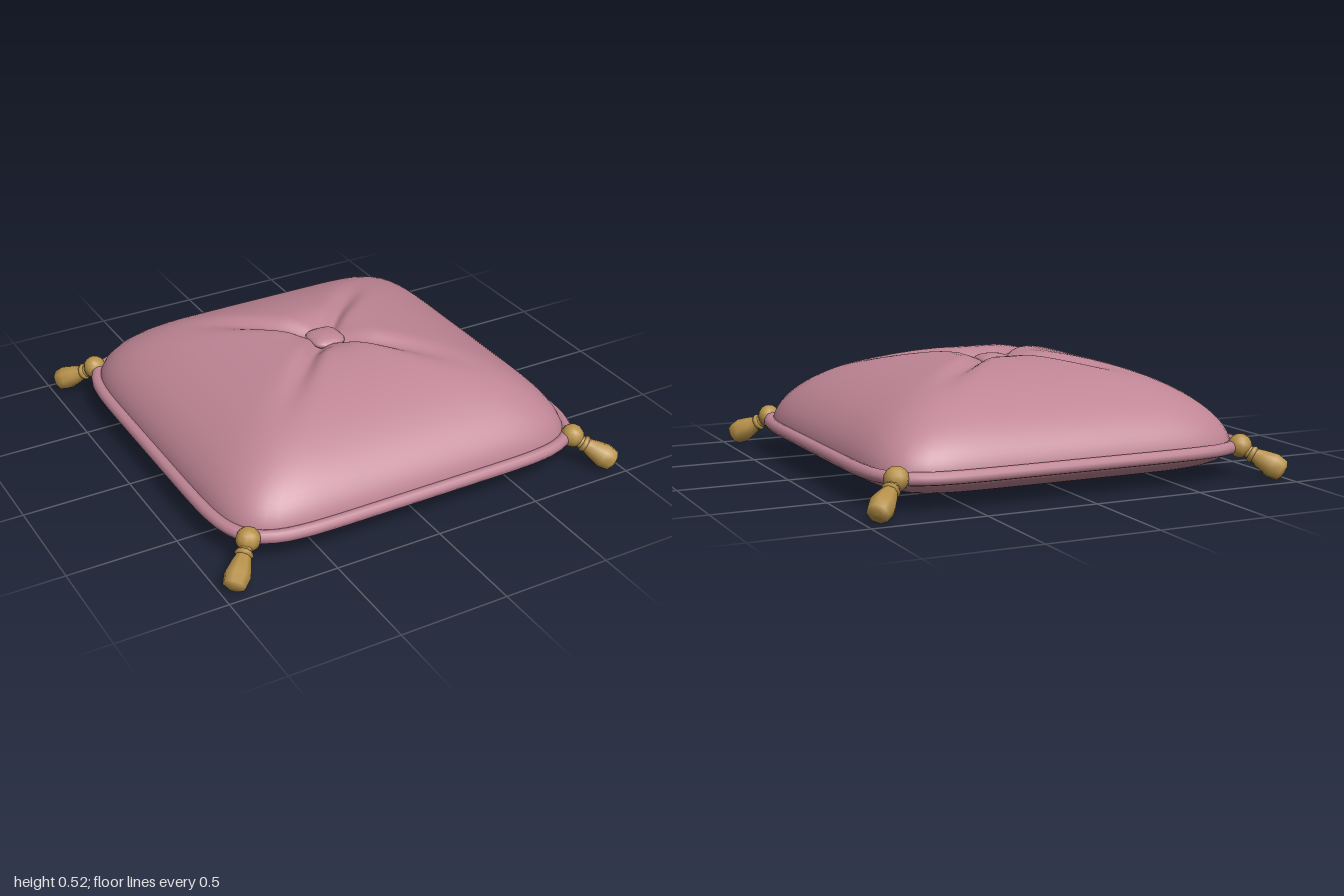
import * as THREE from 'three';

const HALF = 0.87, SEAM_Y = 0.148, SEGMENTS = 128, RINGS = 28;

// Distance from the centre to a rounded-square outline at a given angle
function outline(angle, half, power = 7) {
  const c = Math.abs(Math.cos(angle)), s = Math.abs(Math.sin(angle));
  return half / Math.pow(c ** power + s ** power, 1 / power);
}

// Domed cover with a central dimple and four diagonal folds
function topHeight(t, r, angle) {
  const dome = 0.39 * Math.pow(Math.max(0, 1 - t * t), 0.55);
  const dimple = 0.065 * Math.exp(-((r / 0.12) ** 2));
  const quarter = Math.PI / 2;
  const offset = ((angle % quarter) + quarter) % quarter - quarter / 2;
  const across = r * Math.sin(offset);
  const fade = 1 - THREE.MathUtils.smoothstep(r, 0.2, 0.8);
  const grow = THREE.MathUtils.smoothstep(r, 0, 0.12);
  const fold = 0.04 * fade * grow * Math.exp(-((across / (0.03 + 0.05 * r)) ** 2));
  return SEAM_Y + dome - dimple - fold;
}

// Shallow, flat underside
function bottomHeight(t) {
  return SEAM_Y - 0.123 * Math.sqrt(Math.max(0, 1 - t ** 6));
}

// Concentric rings out to the seam, closed at the centre
function coverGeometry(height, up) {
  const positions = [0, height(0, 0, 0), 0], index = [];
  const face = (a, b, c) => (up ? index.push(a, b, c) : index.push(a, c, b));
  for (let i = 1; i <= RINGS; i++) {
    const t = Math.sin((i / RINGS) * Math.PI / 2);
    for (let j = 0; j < SEGMENTS; j++) {
      const angle = (j / SEGMENTS) * Math.PI * 2;
      const r = t * outline(angle, HALF);
      positions.push(r * Math.cos(angle), height(t, r, angle), r * Math.sin(angle));
    }
  }
  const id = (i, j) => 1 + (i - 1) * SEGMENTS + (j % SEGMENTS);
  for (let j = 0; j < SEGMENTS; j++) {
    face(0, id(1, j + 1), id(1, j));
    for (let i = 1; i < RINGS; i++) {
      face(id(i, j), id(i, j + 1), id(i + 1, j));
      face(id(i, j + 1), id(i + 1, j + 1), id(i + 1, j));
    }
  }
  const geometry = new THREE.BufferGeometry();
  geometry.setAttribute('position', new THREE.Float32BufferAttribute(positions, 3));
  geometry.setIndex(index);
  geometry.computeVertexNormals();
  return geometry;
}

// Cord following the seam
function pipingGeometry() {
  const points = [];
  for (let j = 0; j < 64; j++) {
    const a = (j / 64) * Math.PI * 2, r = outline(a, 0.882);
    points.push(new THREE.Vector3(r * Math.cos(a), SEAM_Y, r * Math.sin(a)));
  }
  return new THREE.TubeGeometry(new THREE.CatmullRomCurve3(points, true), 128, 0.029, 10, true);
}

// Squashed, slightly square button
function buttonGeometry() {
  const geometry = new THREE.SphereGeometry(1, 24, 12);
  const p = geometry.attributes.position;
  for (let i = 0; i < p.count; i++) {
    const k = outline(Math.atan2(p.getZ(i), p.getX(i)), 0.08, 3.5);
    p.setXYZ(i, p.getX(i) * k, p.getY(i) * 0.03, p.getZ(i) * k);
  }
  geometry.computeVertexNormals();
  return geometry;
}

// Knot, collar and flared skirt, hanging outward from one corner
function createTassel(material) {
  const tassel = new THREE.Group();
  const add = (name, geometry) => {
    const mesh = new THREE.Mesh(geometry, material);
    mesh.name = name;
    tassel.add(mesh);
    return mesh;
  };
  const knot = add('tasselKnot', new THREE.SphereGeometry(0.054, 10, 8));
  knot.position.y = 0.006;

  const hanging = new THREE.Group();
  hanging.name = 'tasselHanging';
  const direction = new THREE.Vector3(0.63, -0.45, 0.63).normalize();
  hanging.quaternion.setFromUnitVectors(new THREE.Vector3(0, 1, 0), direction);
  const profile = [[0.03, 0.03], [0.032, 0.07], [0.045, 0.11], [0.058, 0.165],
    [0.05, 0.212], [0.028, 0.224], [0, 0.226]].map(([r, d]) => new THREE.Vector2(r, d));
  const skirt = add('tasselSkirt', new THREE.LatheGeometry(profile, 8));
  const collar = add('tasselCollar', new THREE.TorusGeometry(0.028, 0.013, 6, 10));
  collar.rotation.x = Math.PI / 2;
  collar.position.y = 0.064;
  hanging.add(skirt, collar);
  tassel.add(hanging);
  return tassel;
}

export function createModel() {
  const model = new THREE.Group();
  model.name = 'cushion';
  const fabric = new THREE.MeshStandardMaterial({ color: 0xbf8595 });
  fabric.name = 'rose fabric';
  const gold = new THREE.MeshStandardMaterial({ color: 0xb8924a });
  gold.name = 'gold thread';

  const add = (name, geometry) => {
    const mesh = new THREE.Mesh(geometry, fabric);
    mesh.name = name;
    model.add(mesh);
    return mesh;
  };
  add('topCover', coverGeometry(topHeight, true));
  add('bottomCover', coverGeometry(bottomHeight, false));
  add('piping', pipingGeometry());
  add('button', buttonGeometry()).position.y = 0.485;

  // One tassel at each corner
  const names = ['frontLeft', 'backLeft', 'backRight', 'frontRight'];
  names.forEach((name, i) => {
    const corner = new THREE.Group();
    corner.name = name + 'Tassel';
    const tassel = createTassel(gold);
    tassel.position.set(0.82, 0.147, 0.82);
    corner.add(tassel);
    corner.rotation.y = i * Math.PI / 2;
    model.add(corner);
  });
  return model;
}
